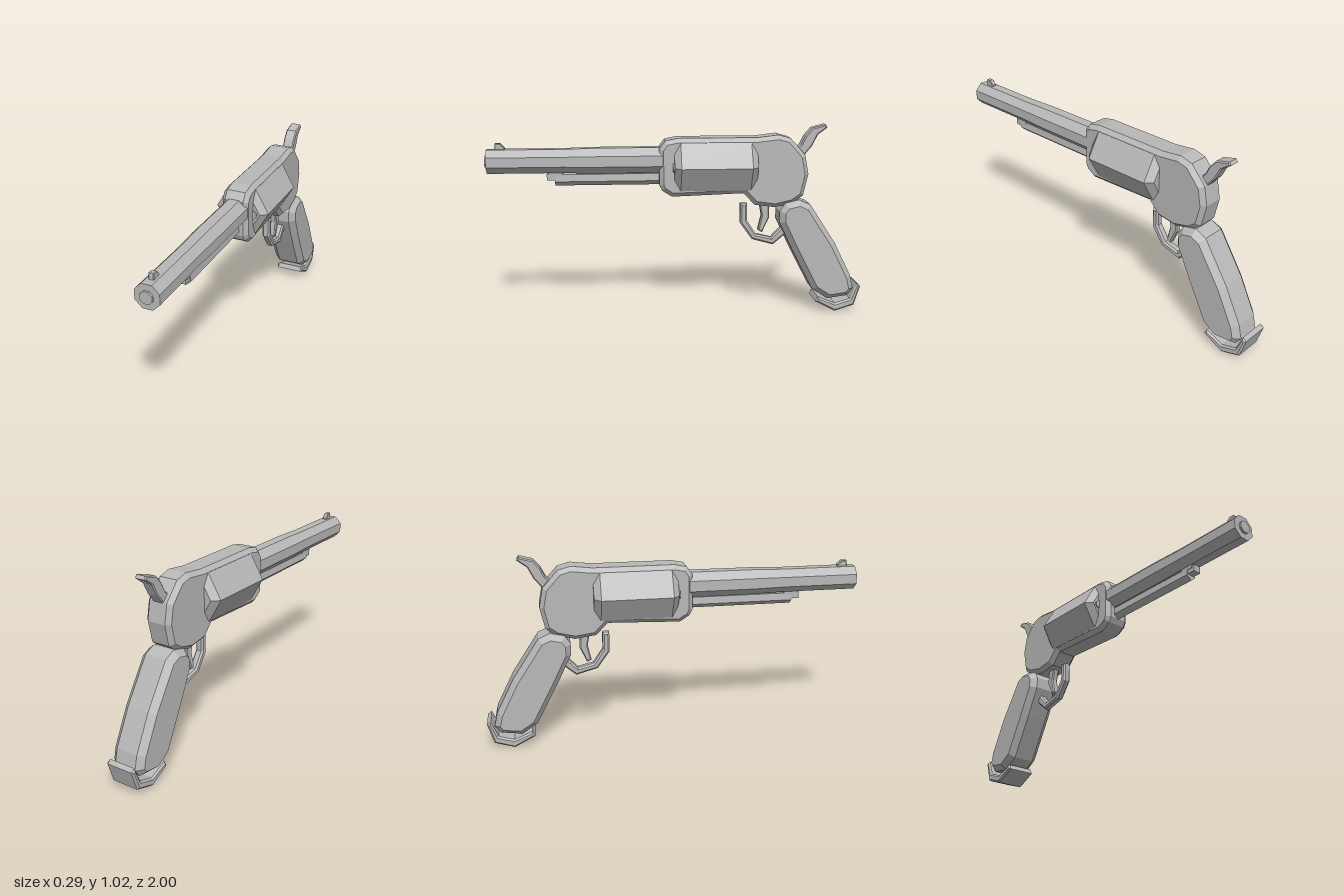
import * as THREE from 'three';

export function createModel() {
  const model = new THREE.Group();
  const grey = new THREE.MeshStandardMaterial({ color: 0xb8b8b8, flatShading: true });
  grey.name = 'plain grey';

  function add(name, geometry) {
    const mesh = new THREE.Mesh(geometry, grey);
    mesh.name = name;
    model.add(mesh);
    return mesh;
  }

  // Chamfered slab from a side outline of [z, y] points, centred on x = 0
  function slab(name, points, halfWidth, chamfer, inset = chamfer) {
    const shape = new THREE.Shape(points.map(([z, y]) => new THREE.Vector2(z, y)));
    const depth = 2 * (halfWidth - chamfer);
    const geometry = new THREE.ExtrudeGeometry(shape, {
      depth, bevelEnabled: true, bevelSegments: 1,
      bevelThickness: chamfer, bevelSize: inset, bevelOffset: -inset,
    });
    geometry.translate(0, 0, -depth / 2);
    geometry.rotateY(-Math.PI / 2);
    return add(name, geometry);
  }

  // Faceted turned part along z from [radius, z] points, rear to front
  function turned(name, points, sides, x, y) {
    const geometry = new THREE.LatheGeometry(points.map(([r, z]) => new THREE.Vector2(r, z)), sides);
    geometry.rotateY(Math.PI / sides);
    geometry.rotateX(Math.PI / 2);
    geometry.translate(x, y, 0);
    return add(name, geometry);
  }

  function box(name, w, h, d, y, z) {
    const mesh = add(name, new THREE.BoxGeometry(w, h, d));
    mesh.position.set(0, y, z);
  }

  // Body
  slab('frame', [
    [0.096, 0.9], [0.065, 0.942], [0, 0.955], [-0.42, 0.955], [-0.53, 0.968], [-0.595, 0.95],
    [-0.64, 0.9], [-0.675, 0.86], [-0.695, 0.76], [-0.67, 0.645], [-0.615, 0.605],
    [-0.52, 0.582], [-0.41, 0.597], [-0.35, 0.66], [0.03, 0.647], [0.082, 0.68], [0.096, 0.71],
  ], 0.072, 0.022);
  turned('cylinder', [
    [0, -0.42], [0.11, -0.42], [0.145, -0.385], [0.145, -0.015], [0.11, 0.018], [0, 0.018],
  ], 6, 0, 0.805);
  for (const side of [-1, 1]) {
    turned('cylinderPin', [[0, -0.01], [0.025, -0.01], [0.025, 0.026], [0, 0.026]], 8, side * 0.07, 0.803);
  }

  // Barrel group
  turned('barrel', [
    [0, 0.05], [0.073, 0.05], [0.072, 0.43], [0.067, 0.6], [0.067, 0.988], [0, 0.988],
  ], 8, 0, 0.838);
  turned('muzzleBore', [[0, 0.95], [0.033, 0.95], [0.033, 0.999], [0, 0.999]], 8, 0, 0.838);
  slab('frontSight', [[0.948, 0.89], [0.943, 0.931], [0.917, 0.931], [0.895, 0.908], [0.895, 0.89]], 0.013, 0.003);

  // Rod under the barrel
  const rodSection = new THREE.Shape([
    [-0.024, 0.768], [-0.028, 0.73], [0, 0.706], [0.028, 0.73], [0.024, 0.768],
  ].map(([x, y]) => new THREE.Vector2(x, y)));
  const rod = new THREE.ExtrudeGeometry(rodSection, { depth: 0.56, bevelEnabled: false });
  rod.translate(0, 0, 0.08);
  add('ejectorRod', rod);
  box('rodTip', 0.044, 0.036, 0.05, 0.754, 0.657);
  box('rodBracket', 0.05, 0.03, 0.07, 0.773, 0.635);

  // Hammer and trigger
  slab('hammer', [
    [-0.6, 0.86], [-0.655, 0.91], [-0.68, 0.96], [-0.715, 1.0], [-0.785, 1.018], [-0.795, 1.002],
    [-0.745, 0.965], [-0.715, 0.905], [-0.67, 0.85],
  ], 0.031, 0.006);
  slab('trigger', [
    [-0.44, 0.61], [-0.455, 0.53], [-0.437, 0.45], [-0.46, 0.437], [-0.498, 0.52], [-0.492, 0.61],
  ], 0.018, 0.006);
  slab('triggerGuard', [
    [-0.34, 0.597], [-0.34, 0.49], [-0.405, 0.4], [-0.52, 0.368], [-0.61, 0.445],
    [-0.575, 0.478], [-0.51, 0.408], [-0.427, 0.428], [-0.376, 0.505], [-0.376, 0.597],
  ], 0.022, 0.009);

  // Grip with its butt strap
  slab('grip', [
    [-0.545, 0.562], [-0.575, 0.605], [-0.65, 0.622], [-0.71, 0.595], [-0.85, 0.382], [-0.942, 0.2],
    [-0.96, 0.125], [-0.93, 0.085], [-0.82, 0.07], [-0.735, 0.125], [-0.62, 0.345], [-0.545, 0.5],
  ], 0.093, 0.033, 0.028);
  slab('buttStrap', [
    [-0.752, 0.058], [-0.862, 0.001], [-0.966, 0.034], [-0.999, 0.14], [-0.978, 0.155],
    [-0.943, 0.07], [-0.862, 0.045], [-0.765, 0.085],
  ], 0.082, 0.009);

  return model;
}
